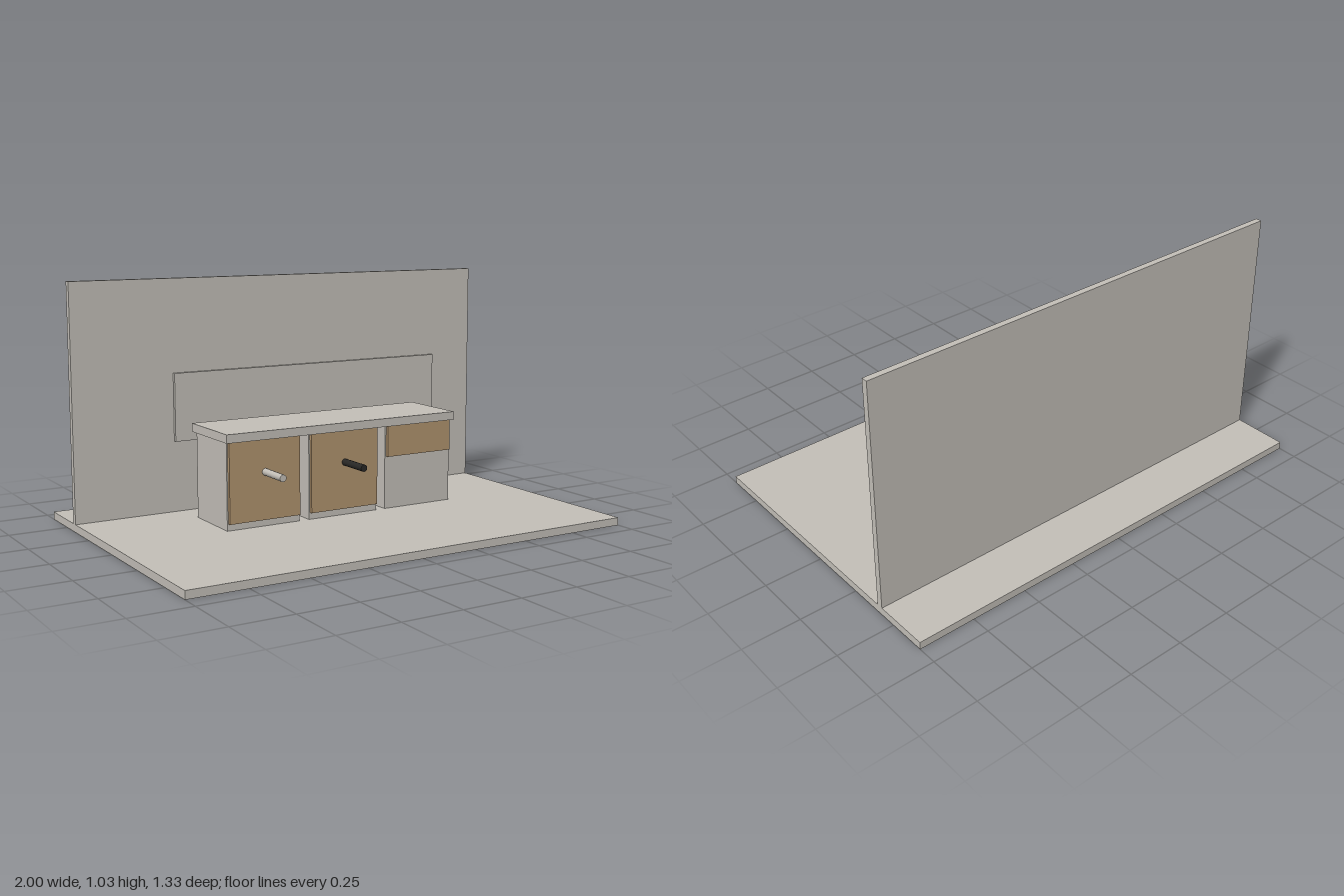
import * as THREE from 'three';

export function createModel() {
  const model = new THREE.Group();
  model.name = 'kitchenCounterDisplay';

  const material = (name, color) => {
    const m = new THREE.MeshStandardMaterial({ color });
    m.name = name;
    return m;
  };
  const stone = material('warmGrey', 0xc3bfb8);
  const wood = material('lightWood', 0xb0936e);
  const black = material('blackMetal', 0x292826);

  // Box given by its limits on each axis
  const box = (name, mat, [x0, x1], [y0, y1], [z0, z1]) => {
    const mesh = new THREE.Mesh(new THREE.BoxGeometry(x1 - x0, y1 - y0, z1 - z0), mat);
    mesh.position.set((x0 + x1) / 2, (y0 + y1) / 2, (z0 + z1) / 2);
    mesh.name = name;
    model.add(mesh);
  };

  // Room
  box('floor', stone, [-1, 1], [0, 0.033], [-0.667, 0.667]);
  box('wall', stone, [-1, 1], [0.033, 1.033], [-0.427, -0.4]);
  box('backsplash', stone, [-0.55, 0.783], [0.34, 0.633], [-0.4, -0.385]);

  // Counter
  box('countertop', stone, [-0.522, 0.597], [0.397, 0.433], [-0.281, 0.042]);

  // Cabinets with two full doors and one short drawer front
  const units = [
    { x: -0.345, half: 0.168, front: 'leftDoor', bottom: 0.062, handle: stone },
    { x: 0.036, half: 0.168, front: 'middleDoor', bottom: 0.062, handle: black },
    { x: 0.417, half: 0.17, front: 'drawerFront', bottom: 0.263 },
  ];
  for (const { x, half, front, bottom, handle } of units) {
    box('cabinet', stone, [x - half, x + half], [0.033, 0.397], [-0.255, 0.02]);
    box(front, wood, [x - 0.163, x + 0.163], [bottom, 0.397], [0.02, 0.035]);
    if (!handle) continue;

    // Round pull standing straight out of the door
    const pull = new THREE.Mesh(new THREE.CylinderGeometry(0.015, 0.015, 0.15, 12), handle);
    pull.rotation.x = Math.PI / 2;
    pull.position.set(x, 0.263, 0.11);
    pull.name = 'handle';
    model.add(pull);
  }

  return model;
}
